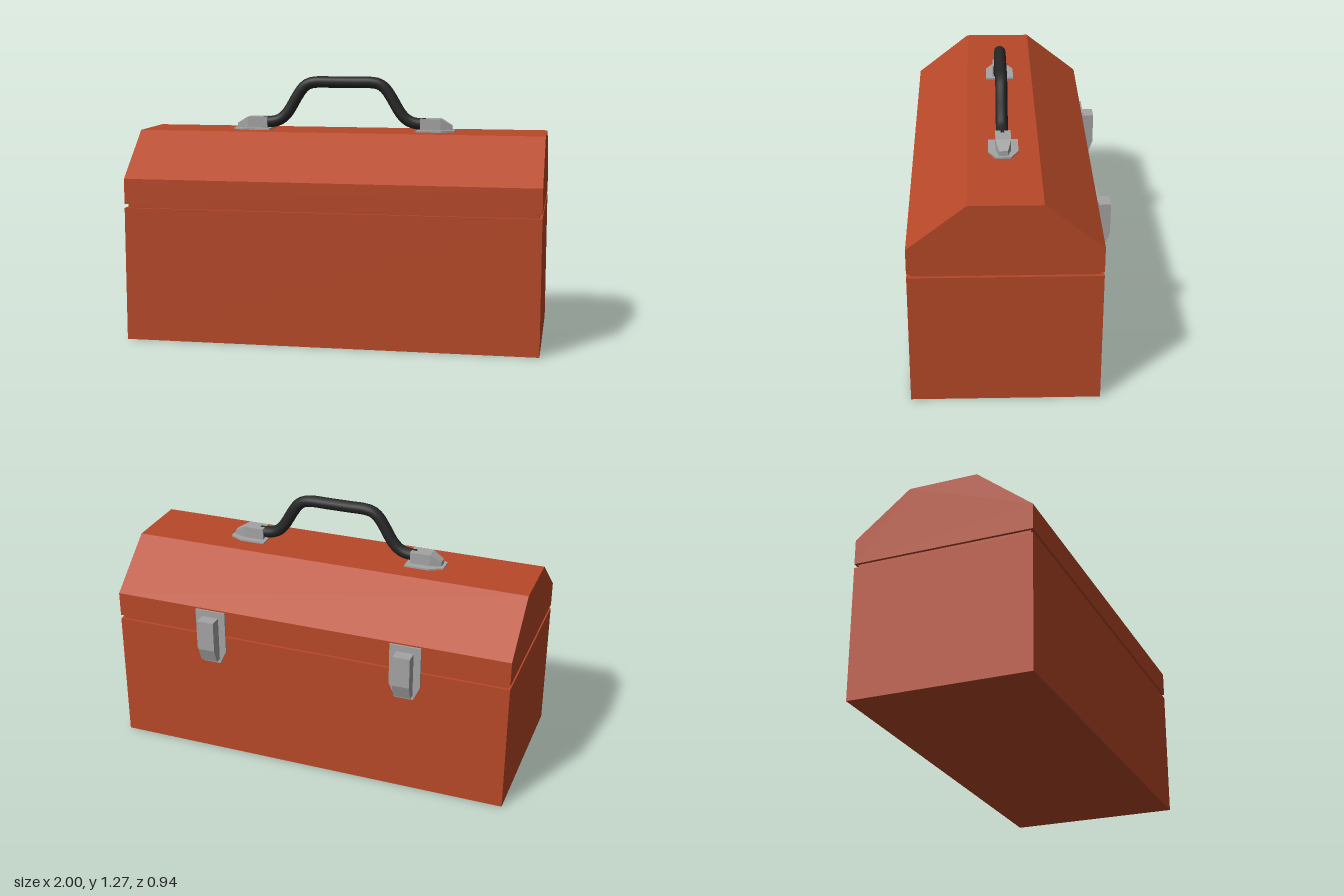
import * as THREE from 'three';
import { ConvexGeometry } from 'three/addons/geometries/ConvexGeometry.js';

const material = (name, color) => {
  const m = new THREE.MeshStandardMaterial({ color });
  m.name = name;
  return m;
};

function part(parent, name, geometry, mat) {
  const mesh = new THREE.Mesh(geometry, mat);
  mesh.name = name;
  parent.add(mesh);
  return mesh;
}

// Extrudes an outline, centred on the extrusion axis
function slab(points, depth) {
  const shape = new THREE.Shape(points.map(([x, y]) => new THREE.Vector2(x, y)));
  return new THREE.ExtrudeGeometry(shape, { depth, bevelEnabled: false }).translate(0, 0, -depth / 2);
}

// Outline given as [z, y], extruded along x
const sideProfile = (points, width) => slab(points, width).rotateY(-Math.PI / 2);

export function createModel() {
  const red = material('red paint', 0xb84928);
  const steel = material('grey steel', 0xa4a4a4);
  const black = material('black grip', 0x262626);

  const model = new THREE.Group();
  model.name = 'toolbox';
  const front = 0.468, back = -0.4, handleZ = 0.035;

  // Lower box, recessed seam and sloped lid
  part(model, 'box', sideProfile([[back, 0], [front, 0], [front, 0.65], [back, 0.65]], 2), red);
  part(model, 'seam', sideProfile(
    [[back + 0.014, 0.64], [front - 0.014, 0.64], [front - 0.014, 0.68], [back + 0.014, 0.68]], 1.972), red);
  part(model, 'lid', sideProfile(
    [[back, 0.67], [front, 0.67], [front, 0.792], [0.2, 1.005], [-0.133, 1.005], [back, 0.792]], 2), red);

  // Latches on the back
  for (const side of [-1, 1]) {
    const latch = new THREE.Group();
    latch.name = side > 0 ? 'leftLatch' : 'rightLatch';
    latch.position.x = side * 0.498;
    model.add(latch);
    part(latch, 'latchPlate', slab(
      [[-0.077, 0.785], [-0.077, 0.575], [-0.045, 0.505], [0.045, 0.505], [0.077, 0.575], [0.077, 0.785]], 0.009)
      .translate(0, 0, back - 0.0045), steel);
    part(latch, 'latchClasp', sideProfile(
      [[back, 0.53], [back, 0.753], [-0.468, 0.753], [-0.468, 0.6], [-0.443, 0.53]], 0.084), steel);
  }

  // Handle mounts: base plate and wedge-ended bracket, turned round for the other side
  for (const side of [-1, 1]) {
    const mount = new THREE.Group();
    mount.name = side > 0 ? 'leftHandleMount' : 'rightHandleMount';
    mount.position.z = handleZ - 0.003;
    mount.rotation.y = side > 0 ? 0 : Math.PI;
    model.add(mount);
    part(mount, 'mountPlate', slab(
      [[0.367, -0.07], [0.49, -0.07], [0.555, -0.036], [0.555, 0.036], [0.49, 0.07], [0.367, 0.07]], 0.008)
      .rotateX(Math.PI / 2).translate(0, 1.009, 0), steel);
    const corners = [];
    for (const z of [-1, 1]) {
      for (const [x, y, w] of [[0.385, 1.01, 0.036], [0.385, 1.068, 0.036], [0.485, 1.068, 0.036],
        [0.485, 1.01, 0.036], [0.54, 1.036, 0.02], [0.54, 1.01, 0.02]]) {
        corners.push(new THREE.Vector3(x, y, z * w));
      }
    }
    part(mount, 'mountBracket', new ConvexGeometry(corners), steel);
  }

  // Bent handle grip
  const half = [[0.41, 1.042], [0.365, 1.043], [0.325, 1.055], [0.288, 1.088], [0.235, 1.175],
    [0.208, 1.213], [0.178, 1.235], [0.135, 1.243], [0.06, 1.243]];
  const path = [...half, ...half.map(([x, y]) => [-x, y]).reverse()]
    .map(([x, y]) => new THREE.Vector3(x, y, handleZ));
  part(model, 'handle', new THREE.TubeGeometry(new THREE.CatmullRomCurve3(path), 48, 0.0285, 12), black);

  return model;
}
